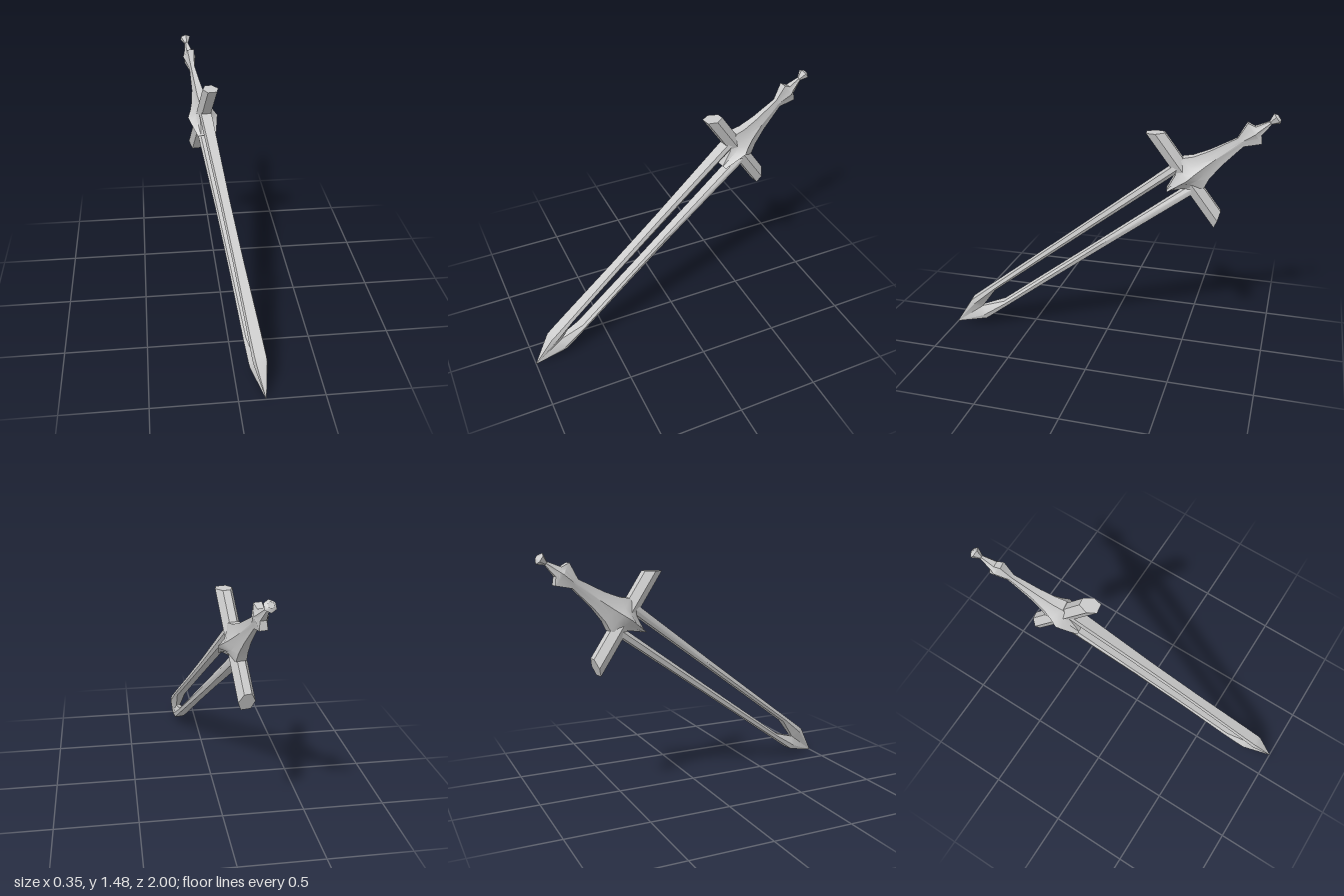
import * as THREE from 'three';
import { toCreasedNormals } from 'three/addons/utils/BufferGeometryUtils.js';

const material = new THREE.MeshStandardMaterial({ color: 0xcccccc });

// Skin a list of equal-sized rings (counter-clockwise along the loft) and cap both ends
function loft(rings, crease = 0.7) {
  const n = rings[0].length, last = (rings.length - 1) * n, index = [];
  for (let i = 0; i < rings.length - 1; i++) {
    for (let j = 0; j < n; j++) {
      const a = i * n + j, b = i * n + (j + 1) % n;
      index.push(a, b, b + n, a, b + n, a + n);
    }
  }
  for (let j = 1; j < n - 1; j++) {
    index.push(0, j + 1, j, last, last + j, last + j + 1);
  }
  const geometry = new THREE.BufferGeometry();
  geometry.setAttribute('position', new THREE.Float32BufferAttribute(rings.flat(2), 3));
  geometry.setIndex(index);
  return toCreasedNormals(geometry, crease);
}

function add(parent, name, geometry, turn = 0) {
  const mesh = new THREE.Mesh(geometry, material);
  mesh.name = name;
  mesh.rotation.y = turn;
  parent.add(mesh);
}

// Star section: side corners at +-a, flat ends of half width b at +-c, hollows between
const star = ([y, a, b, c]) => {
  const d = b + (a - b) * 0.3, e = c * 0.42;
  return [
    [a, y, 0], [d, y, -e], [b, y, -c], [-b, y, -c], [-d, y, -e],
    [-a, y, 0], [-d, y, e], [-b, y, c], [b, y, c], [d, y, e],
  ];
};

// Blade section: outer face, widest line and inner face, each as half width and z
const prong = ([y, h, zOut, m, zMid, i, zIn]) => [
  [m, y, zMid], [i, y, zIn], [-i, y, zIn], [-m, y, zMid], [-h, y, zOut], [h, y, zOut],
];

export function createModel() {
  const model = new THREE.Group();
  model.name = 'sword';

  // Sword space: tip at the origin, y runs to the pommel, z along the guard
  const sword = new THREE.Group();
  sword.name = 'tiltedSword';
  const axis = new THREE.Vector3(-0.121, 0.588, -0.8).normalize();
  const guardDir = new THREE.Vector3(0.107, 0.806, 0.58);
  const side = new THREE.Vector3().crossVectors(axis, guardDir).normalize();
  guardDir.crossVectors(side, axis);
  sword.quaternion.setFromRotationMatrix(new THREE.Matrix4().makeBasis(side, axis, guardDir));
  sword.position.set(0.157, 0.003, 1.0);
  model.add(sword);

  // Split blade: two prongs, slimmer halfway, that join in a pointed head
  const blade = loft([
    [0, 0.001, 0.002, 0.001, 0.001, 0.001, 0],
    [0.195, 0.033, 0.08, 0.042, 0.05, 0.014, 0],
    [0.225, 0.034, 0.081, 0.043, 0.052, 0.014, 0],
    [0.372, 0.033, 0.083, 0.041, 0.062, 0.027, 0.048],
    [0.8, 0.027, 0.089, 0.034, 0.066, 0.025, 0.05],
    [1.2, 0.026, 0.095, 0.033, 0.069, 0.025, 0.052],
    [1.85, 0.034, 0.106, 0.041, 0.076, 0.027, 0.054],
  ].map(prong));

  // Six-sided guard arm with a slanted end
  const armSection = [
    [0.05, 1.845], [0.022, 1.891], [-0.022, 1.891],
    [-0.05, 1.845], [-0.029, 1.8], [0.029, 1.8],
  ];
  const arm = loft([
    armSection.map(([x, y]) => [x, y, 0.03]),
    armSection.map(([x, y]) => [x, y, 0.36 - (y - 1.8) * 0.68]),
  ]);

  for (const [label, turn] of [['upper', 0], ['lower', Math.PI]]) {
    add(sword, label + 'Blade', blade, turn);
    add(sword, label + 'GuardArm', arm, turn);
  }

  // Winged guard centre running into the waisted grip and its flared collar
  add(sword, 'grip', loft([
    [1.7, 0.06, 0.03, 0.003],
    [1.8, 0.088, 0.032, 0.052],
    [1.845, 0.099, 0.034, 0.09],
    [1.893, 0.076, 0.031, 0.112],
    [1.95, 0.056, 0.027, 0.083],
    [2.05, 0.034, 0.02, 0.057],
    [2.22, 0.018, 0.012, 0.031],
    [2.318, 0.043, 0.023, 0.075],
    [2.342, 0.031, 0.018, 0.031],
    [2.43, 0.011, 0.006, 0.01],
  ].map(star)));

  // Pommel: a hexagonal cone with a shallow domed end
  add(sword, 'pommel', loft([[2.42, 0.011], [2.468, 0.036], [2.482, 0.018]].map(
    ([y, r]) => Array.from({ length: 6 }, (_, j) => {
      const angle = (j + 0.5) * Math.PI / 3;
      return [r * Math.cos(angle), y, -r * Math.sin(angle)];
    }))));

  return model;
}
